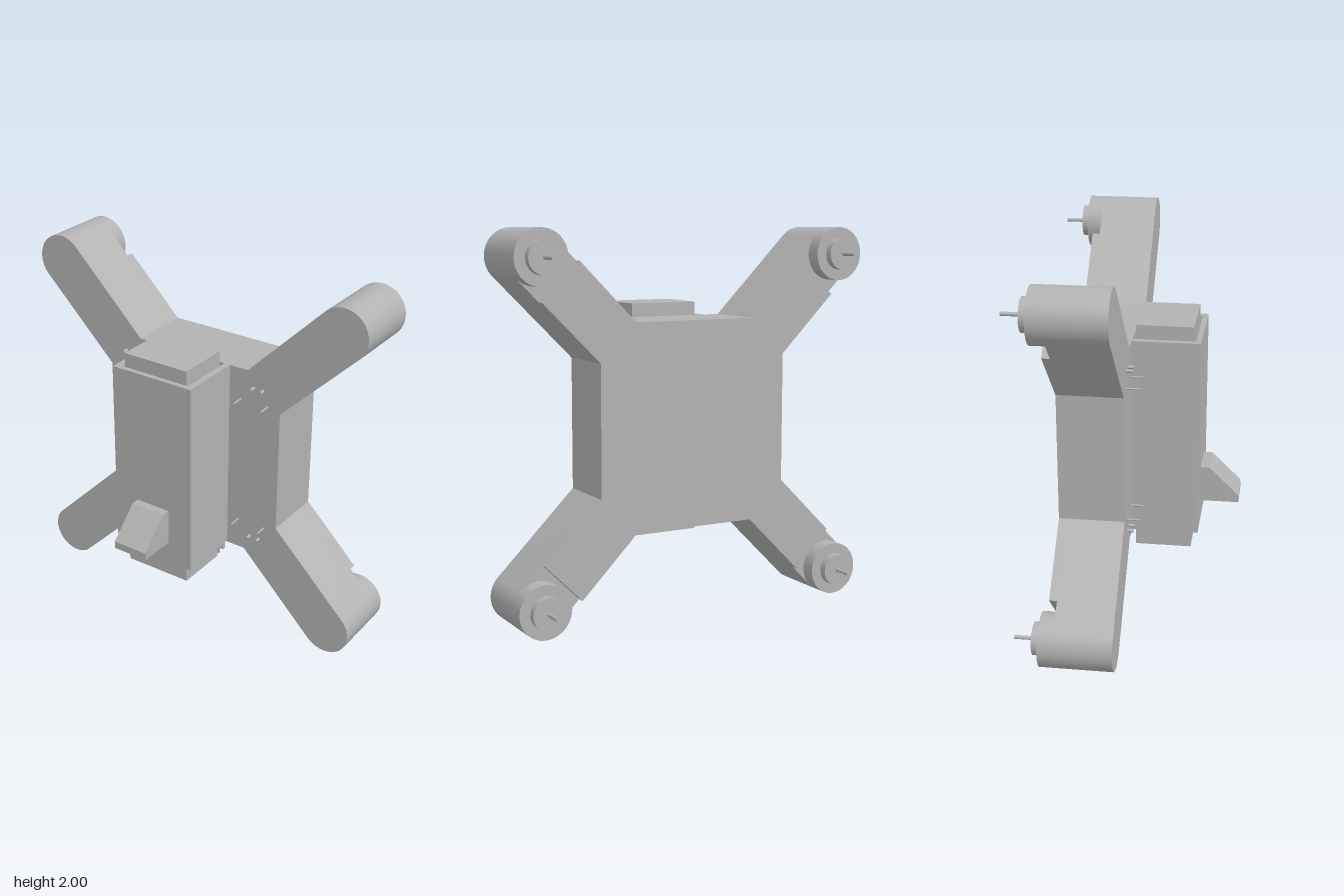
import * as THREE from 'three';
import { toCreasedNormals } from 'three/addons/utils/BufferGeometryUtils.js';

export function createModel() {
  const model = new THREE.Group();
  model.name = 'quadcopter';
  const grey = new THREE.MeshStandardMaterial({ color: 0xb2b2b2 });
  grey.name = 'plain grey';

  const add = (name, geometry) => {
    const mesh = new THREE.Mesh(geometry, grey);
    mesh.name = name;
    model.add(mesh);
    return mesh;
  };
  // Box given by its minimum and maximum on each axis
  const box = (name, x0, x1, y0, y1, z0, z1) =>
    add(name, new THREE.BoxGeometry(x1 - x0, y1 - y0, z1 - z0)
      .translate((x0 + x1) / 2, (y0 + y1) / 2, (z0 + z1) / 2));
  // Cylinder along z
  const rod = (name, r, x, y, z0, z1, sides = 32) =>
    add(name, new THREE.CylinderGeometry(r, r, z1 - z0, sides)
      .rotateX(Math.PI / 2).translate(x, y, (z0 + z1) / 2));
  const extrude = (name, shape, z0, z1) =>
    add(name, toCreasedNormals(new THREE.ExtrudeGeometry(shape, {
      depth: z1 - z0, bevelEnabled: false, curveSegments: 24,
    }).translate(0, 0, z0), 0.5));

  const FRONT = -0.016, BACK = -0.355, NOTCH = -0.315;
  const POD = 0.86, R = 0.14;      // pod offset from the body centre, pod radius
  const HX = 0.535, HY = 0.34;     // long half side of the body and its end
  const CX = 0.338, CY = 0.535;    // short half side of the body and its end

  // X-shaped outline; arms are rounded or cut square before the pods
  function outline(rounded, cavity) {
    const s = new THREE.Shape();
    const c = Math.SQRT1_2;
    const corners = [[1, 1], [-1, 1], [-1, -1], [1, -1]];
    corners.forEach(([sx, sy], i) => {
      const a = Math.atan2(sy, sx);
      const px = sx * POD, py = 1 + sy * POD;
      const side = [sx * HX, 1 + sy * HY], end = [sx * CX, 1 + sy * CY];
      const [first, last] = i % 2 === 0 ? [side, end] : [end, side];
      if (i === 0) s.moveTo(...first); else s.lineTo(...first);
      if (rounded) {
        s.lineTo(px + R * Math.cos(a - Math.PI / 2), py + R * Math.sin(a - Math.PI / 2));
        s.absarc(px, py, R, a - Math.PI / 2, a + Math.PI / 2, false);
      } else {
        const qx = px - sx * 0.165 * c, qy = py - sy * 0.165 * c;
        for (const t of [-1, 1])
          s.lineTo(qx + R * Math.cos(a + t * Math.PI / 2), qy + R * Math.sin(a + t * Math.PI / 2));
      }
      s.lineTo(...last);
      // Hollow electronics bay, open at the bottom edge
      if (cavity && i === 2) {
        const w = 0.025;
        [[-CX + w, 1 - CY], [-CX + w, 1 - CY + w], [-HX + w, 1 - HY], [-HX + w, 1 + HY],
          [-CX, 1 + CY - w], [CX, 1 + CY - w], [HX - w, 1 + HY], [HX - w, 1 - HY],
          [CX - w, 1 - CY + w], [CX - w, 1 - CY]].forEach((p) => s.lineTo(...p));
      }
    });
    s.closePath();
    return s;
  }

  // Frame in three layers
  extrude('frameFrontPlate', outline(true, false), -0.04, FRONT);
  extrude('frameWalls', outline(true, true), NOTCH, -0.04);
  extrude('frameBackPlate', outline(false, false), BACK, NOTCH);

  // Motor pods, motors, shafts and the pins on each quarter of the frame
  for (const sx of [-1, 1]) for (const sy of [-1, 1]) {
    const x = sx * POD, y = 1 + sy * POD;
    rod('motorPod', R, x, y, -0.395, NOTCH, 48);
    rod('motor', 0.084, x, y, -0.435, -0.395);
    rod('motorShaft', 0.01, x, y, -0.535, -0.435, 16);
    for (const px of [0.375, 0.432]) rod('screw', 0.009, sx * px, 1 + sy * 0.443, FRONT, 0.015, 12);
    for (const px of [0.3, 0.463]) rod('pin', 0.005, sx * px, 1 + sy * 0.362, FRONT, 0.055, 10);
  }

  // Battery and its U-shaped cover
  box('battery', -0.203, 0.178, 0.36, 1.605, 0, 0.295);
  const cover = new THREE.Shape();
  [[-0.25, 0.016], [-0.25, -0.335], [0.23, -0.335], [0.23, 0.016],
    [0.195, 0.016], [0.195, -0.307], [-0.215, -0.307], [-0.215, 0.016]]
    .forEach(([x, y], i) => (i ? cover.lineTo(x, y) : cover.moveTo(x, y)));
  cover.closePath();
  add('batteryCover', new THREE.ExtrudeGeometry(cover, { depth: 1.065, bevelEnabled: false })
    .rotateX(-Math.PI / 2).translate(0, 0.47, 0)).rotation.set(0, 0, 0);

  // Wedge-shaped camera housing, profile in (z, y)
  const wedge = new THREE.Shape();
  [[0.335, 0.595], [0.54, 0.595], [0.54, 0.635], [0.382, 0.79], [0.335, 0.79]]
    .forEach(([z, y], i) => (i ? wedge.lineTo(z, y) : wedge.moveTo(z, y)));
  wedge.closePath();
  add('cameraHousing', new THREE.ExtrudeGeometry(wedge, { depth: 0.2, bevelEnabled: false })
    .rotateY(-Math.PI / 2).translate(0.09, 0, 0));

  // Circuit board and chips inside the bay
  box('circuitBoard', -0.27, 0.27, 0.48, 1.3, -0.055, -0.04);
  for (const [x, y, w, h] of [[-0.18, 0.56, 0.07, 0.05], [-0.06, 0.62, 0.06, 0.06],
    [-0.13, 0.72, 0.1, 0.1], [0.1, 0.7, 0.12, 0.08], [0.2, 0.58, 0.05, 0.05], [0, 0.53, 0.05, 0.03]])
    box('chip', x - w / 2, x + w / 2, y - h / 2, y + h / 2, -0.08, -0.055);

  // Power connector below the frame
  box('connector', 0.03, 0.187, 0.38, 0.5, -0.014, 0);
  box('connectorTab', 0.183, 0.217, 0.42, 0.46, -0.014, 0.004);
  add('connectorRing', new THREE.TorusGeometry(0.011, 0.005, 8, 20).translate(0.2, 0.44, 0.008));

  return model;
}
